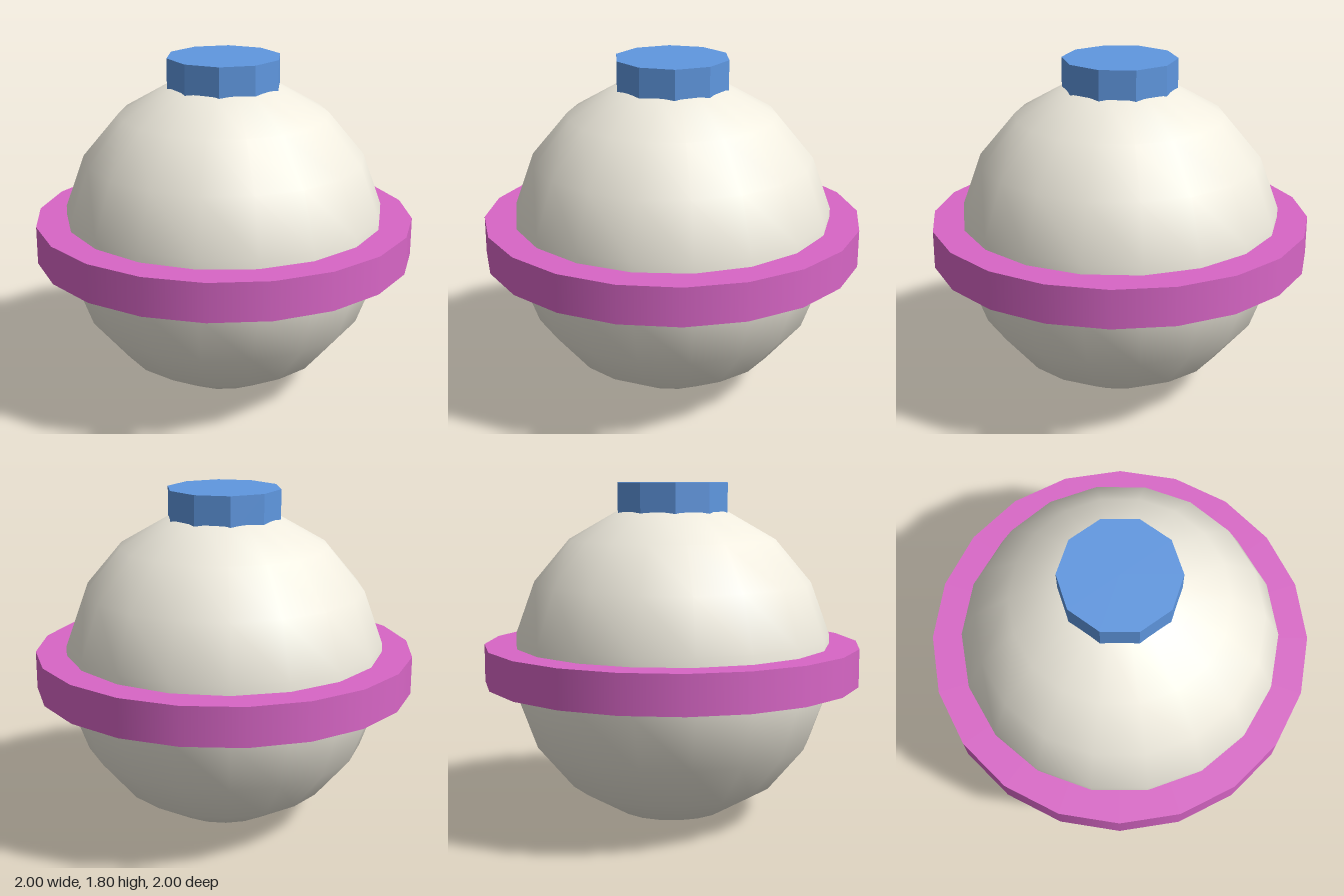
import * as THREE from 'three';

const RADIUS = 0.853; // ball radius, also the height of its centre

function part(name, geometry, color, y, flatShading = false) {
  const mesh = new THREE.Mesh(geometry, new THREE.MeshStandardMaterial({ color, flatShading }));
  mesh.name = name;
  mesh.position.y = y;
  return mesh;
}

export function createModel() {
  const model = new THREE.Group();
  model.name = 'bandedBall';

  // Smooth low-poly ball, turned so that a column of corners faces the front
  const ball = new THREE.SphereGeometry(RADIUS, 18, 9).rotateY(Math.PI / 2);
  model.add(part('ball', ball, 0xf0ecdf, RADIUS));

  // Flat band around the middle, passing through the ball
  model.add(part('band', new THREE.CylinderGeometry(1, 1, 0.2, 20), 0xd866c6, RADIUS));

  // Ten-sided cap, sunk a little into the top of the ball
  model.add(part('cap', new THREE.CylinderGeometry(0.3, 0.3, 0.2, 10), 0x5f97e0, 1.705, true));

  return model;
}
